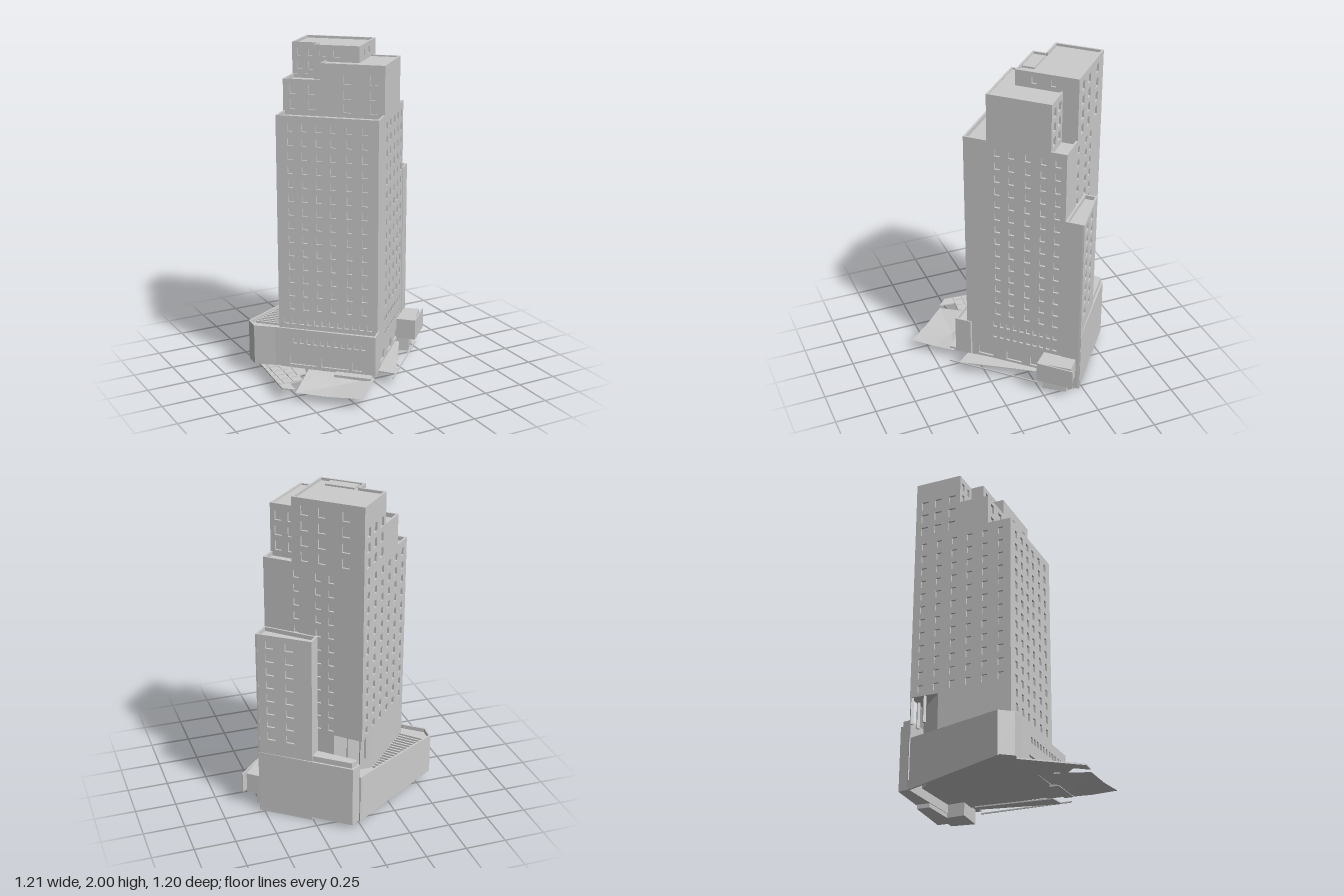
import * as THREE from 'three';

const mat = new THREE.MeshStandardMaterial({ color: 0xcccccc, flatShading: true, side: THREE.DoubleSide });
const SKIN = 0.012; // wall thickness, also window depth

// Point on the rotated tower grid: a runs along the front-left wall, b runs back along the front-right wall
const P = (a, b) => [-0.44 + 0.723 * a + 0.69 * b, -0.115 + 0.69 * a - 0.723 * b];
const spread = (n, from, to) => Array.from({ length: n }, (_, i) => from + (to - from) * i / (n - 1));

function add(parent, name, geo) {
  const m = new THREE.Mesh(geo, mat);
  m.name = name;
  parent.add(m);
  return m;
}

// Upright prism over a plan outline of [x, z] points
function prism(parent, name, pts, y0, y1) {
  const shape = new THREE.Shape(pts.map(([x, z]) => new THREE.Vector2(x, -z)));
  const geo = new THREE.ExtrudeGeometry(shape, { depth: y1 - y0, bevelEnabled: false });
  geo.rotateX(-Math.PI / 2).translate(0, y0, 0);
  return add(parent, name, geo);
}

// Outline moved inwards by t
function inset(pts, t) {
  const n = pts.length;
  const normal = i => {
    const [p, q] = [pts[i], pts[(i + 1) % n]];
    const dx = q[0] - p[0], dz = q[1] - p[1], l = Math.hypot(dx, dz);
    return [dz / l, -dx / l];
  };
  return pts.map(([x, z], i) => {
    const m = normal((i + n - 1) % n), k = normal(i);
    const s = t / (1 + m[0] * k[0] + m[1] * k[1]);
    return [x + (m[0] + k[0]) * s, z + (m[1] + k[1]) * s];
  });
}

// Wall from p (left, seen from outside) to q, pierced by a grid of windows
function facade(parent, name, p, q, y0, y1, windows = []) {
  const dx = q[0] - p[0], dz = q[1] - p[1], len = Math.hypot(dx, dz);
  const shape = new THREE.Shape([[0, y0], [len, y0], [len, y1], [0, y1]].map(c => new THREE.Vector2(...c)));
  for (const { cols, rows, w = 0.034, h = 0.044 } of windows)
    for (const c of cols) for (const y of rows) {
      const x = c * len;
      shape.holes.push(new THREE.Path([[x - w / 2, y - h / 2], [x - w / 2, y + h / 2], [x + w / 2, y + h / 2], [x + w / 2, y - h / 2]]
        .map(v => new THREE.Vector2(...v))));
    }
  const geo = new THREE.ExtrudeGeometry(shape, { depth: SKIN, bevelEnabled: false });
  geo.translate(0, 0, -SKIN);
  const m = add(parent, name, geo);
  m.position.set(p[0], 0, p[1]);
  m.rotation.y = Math.atan2(-dz, dx);
}

// Solid core wrapped in walls; the roof lies below the parapet by lip
function block(parent, name, pts, y0, y1, windows = {}, lip = 0.025) {
  const g = new THREE.Group();
  g.name = name;
  parent.add(g);
  prism(g, name + 'Core', inset(pts, SKIN), y0, y1 - lip);
  pts.forEach((p, i) => facade(g, name + 'Wall', p, pts[(i + 1) % pts.length], y0, y1, windows[i]));
  return g;
}

// Box running between two plan points
function bar(parent, name, p, q, y, h, t) {
  const dx = q[0] - p[0], dz = q[1] - p[1];
  const m = add(parent, name, new THREE.BoxGeometry(Math.hypot(dx, dz), h, t));
  m.position.set((p[0] + q[0]) / 2, y, (p[1] + q[1]) / 2);
  m.rotation.y = Math.atan2(-dz, dx);
}
const mix = (p, q, t) => [p[0] + (q[0] - p[0]) * t, p[1] + (q[1] - p[1]) * t];

export function createModel() {
  const model = new THREE.Group();
  model.name = 'tower';
  const S = 0.62, T = 0.63;
  const [L, F, R, B] = [P(0, 0), P(S, 0), P(S, T), P(0, T)];

  // Main shaft with its window grid
  const rows = spread(12, 0.615, 1.55);
  const frontCols = [0.14, 0.28, 0.42, 0.56, 0.72, 0.87], rightCols = [0.33, 0.47, 0.63, 0.78, 0.92];
  block(model, 'shaft', [L, F, R, B], 0.57, 1.62, {
    0: [{ cols: frontCols, rows }],
    1: [{ cols: rightCols, rows }],
    2: [{ cols: [0.33, 0.55, 0.68], rows }],
    3: [{ cols: [0.1, 0.26, 0.42, 0.58, 0.74, 0.9], rows }],
  });

  // Shaft base, cut back under the rear corner
  const low = [0.445, 0.53];
  block(model, 'shaftBase', [L, F, R, P(0.18, T), P(0, 0.45)], 0.08, 0.57, {
    0: [{ cols: frontCols, rows: low }, { cols: spread(12, 0.08, 0.92), rows: [0.345], w: 0.03, h: 0.035 }],
    1: [{ cols: rightCols, rows: low }, { cols: spread(10, 0.3, 0.92), rows: [0.345], w: 0.025, h: 0.035 },
      { cols: spread(10, 0.3, 0.92), rows: [0.255], w: 0.025, h: 0.02 },
      { cols: [0.2, 0.5, 0.75], rows: [0.125], w: 0.1, h: 0.06 }],
  }, 0);
  for (const [a, b] of [[0.01, 0.62], [0.09, 0.62], [0.01, 0.54]]) {
    const [x, z] = P(a, b);
    add(model, 'rearPost', new THREE.BoxGeometry(0.016, 0.16, 0.016)).position.set(x, 0.49, z);
  }

  // Stepped upper storeys
  const big = { w: 0.045, h: 0.055 };
  block(model, 'lowerSetback', [P(0, 0.145), P(0.23, 0.145), P(0.23, 0.34), P(0, 0.34)], 1.59, 1.81, {
    0: [{ cols: [0.28, 0.78], rows: [1.66, 1.75], ...big }],
  });
  block(model, 'upperSetback', [P(0.23, 0.145), P(S, 0.145), P(S, 0.535), P(0.23, 0.535)], 1.59, 1.91, {
    0: [{ cols: [0.42, 0.83], rows: [1.65, 1.73, 1.82], ...big }],
    2: [{ cols: [0.13, 0.34], rows: [1.66, 1.75, 1.84], ...big }],
  }, 0.008);
  block(model, 'penthouse', [P(0, 0.333), P(0.16, 0.333), P(0.16, 0.25), P(0.44, 0.25), P(0.44, T), P(0, T)], 1.59, 2, {
    0: [{ cols: [0.3, 0.72], rows: [1.86, 1.94], w: 0.03, h: 0.045 }],
    2: [{ cols: [0.2, 0.5], rows: [1.95], w: 0.04, h: 0.04 }],
    3: [{ cols: [0.3, 0.6], rows: [1.95], w: 0.03, h: 0.04 }],
    4: [{ cols: [0.18, 0.42, 0.75], rows: [1.66, 1.75, 1.84, 1.93], ...big }],
    5: [{ cols: [0.2, 0.5, 0.82], rows: [1.66, 1.75, 1.84], ...big }],
  }, 0.015);
  // Small stair head on the roof
  prism(model, 'stairHead', [P(0.19, 0.265), P(0.37, 0.265), P(0.37, 0.34), P(0.19, 0.34)], 1.95, 1.995);

  // Lower wing at the rear right
  block(model, 'wing', [[0.2, -0.375], [0.445, -0.14], [0.525, -0.225], [0.255, -0.435]], 0, 1.19, {
    2: [{ cols: [0.25, 0.6], rows: spread(8, 0.53, 1.13), w: 0.05, h: 0.048 }],
  });

  // Rear service block and terrace slab
  const service = [[0, -0.56], [0.44, -0.14], [0.525, -0.228], [0.06, -0.6]];
  prism(model, 'serviceBlock', service, 0.025, 0.41);
  prism(model, 'terraceSlab', inset(service, 0.012), 0.41, 0.445);

  // Podium
  const backLeft = [-0.585, -0.245];
  block(model, 'podium', [[-0.593, -0.15], [-0.49, -0.065], [-0.04, 0.375], [0.03, 0.3], [0, -0.568], backLeft], 0.075, 0.325, {
    1: [{ cols: spread(11, 0.2, 0.88), rows: [0.25], w: 0.024, h: 0.034 },
      { cols: [0.28, 0.6], rows: [0.125], w: 0.17, h: 0.06 }, { cols: [0.82], rows: [0.125], w: 0.06, h: 0.06 }],
  });
  // Tapering skirt under the rear podium wall
  const skirtLength = Math.hypot(0.585, 0.323);
  const skirt = new THREE.Shape([[0, 0.02], [skirtLength, 0.07], [skirtLength, 0.08], [0, 0.08]].map(c => new THREE.Vector2(...c)));
  const skirtMesh = add(model, 'skirt', new THREE.ExtrudeGeometry(skirt, { depth: SKIN, bevelEnabled: false }).translate(0, 0, -SKIN));
  skirtMesh.position.set(0, 0, -0.568);
  skirtMesh.rotation.y = Math.atan2(-0.323, -0.585);

  // Louvres over the podium roof
  for (const t of spread(16, 0.04, 0.72))
    bar(model, 'louvre', mix([-0.555, -0.235], B, t), mix(L, B, t), 0.305, 0.016, 0.012);

  // Side pavilion with a screen
  prism(model, 'pavilion', [[0.36, -0.06], [0.445, 0.025], [0.58, -0.14], [0.49, -0.22]], 0.09, 0.22);
  prism(model, 'pavilionFoot', [[0.28, -0.14], [0.43, -0.02], [0.52, -0.14], [0.4, -0.25]], 0, 0.09);
  bar(model, 'pavilionScreen', [0.445, 0.025], [0.608, -0.14], 0.155, 0.13, 0.008);

  // Right-hand pavement and its kerb
  prism(model, 'pavement', [[0.015, 0.315], [0.085, 0.4], [0.36, -0.02], [0.33, -0.06]], 0.07, 0.078);
  bar(model, 'kerb', [0.04, 0.445], [0.45, 0.025], 0.075, 0.008, 0.006);

  // Faceted ground sheet on the left
  const rim = [[-0.54, 0.055, 0.31], [-0.4, 0.055, 0.45], [-0.255, 0.07, 0.6], [-0.15, 0.065, 0.49], [-0.05, 0.07, 0.385],
    [-0.19, 0.075, 0.235], [-0.34, 0.075, 0.085], [-0.44, 0.07, 0.2]];
  const tri = rim.flatMap((p, i) => [-0.25, 0.05, 0.33, ...p, ...rim[(i + 1) % rim.length]]);
  const ground = new THREE.BufferGeometry();
  ground.setAttribute('position', new THREE.Float32BufferAttribute(tri, 3));
  ground.computeVertexNormals();
  add(model, 'groundSheet', ground);

  // Gridded paving with a stepped edge
  prism(model, 'paving', [[-0.565, -0.13], [-0.6, 0.255], [-0.54, 0.31], [-0.53, 0.21], [-0.445, 0.21], [-0.43, 0.14],
    [-0.38, 0.13], [-0.36, 0.07], [-0.49, -0.065]], 0.068, 0.076);
  for (const z of spread(5, -0.05, 0.2))
    bar(model, 'pavingJoint', [-0.572 - (z + 0.05) * 0.08, z], [Math.min(-0.38, -0.46 + z * 0.1), z + 0.01], 0.077, 0.006, 0.006);
  for (const x of [-0.55, -0.49, -0.43])
    bar(model, 'pavingJoint', [x + 0.01, x < -0.5 ? -0.1 : -0.06 + (x + 0.49)], [x - 0.01, x < -0.45 ? 0.2 : 0.13], 0.077, 0.006, 0.006);

  // Front steps beside the entrance
  prism(model, 'entranceStep', [[-0.25, 0.24], [-0.21, 0.2], [-0.05, 0.36], [-0.09, 0.4]], 0.06, 0.08);
  return model;
}
